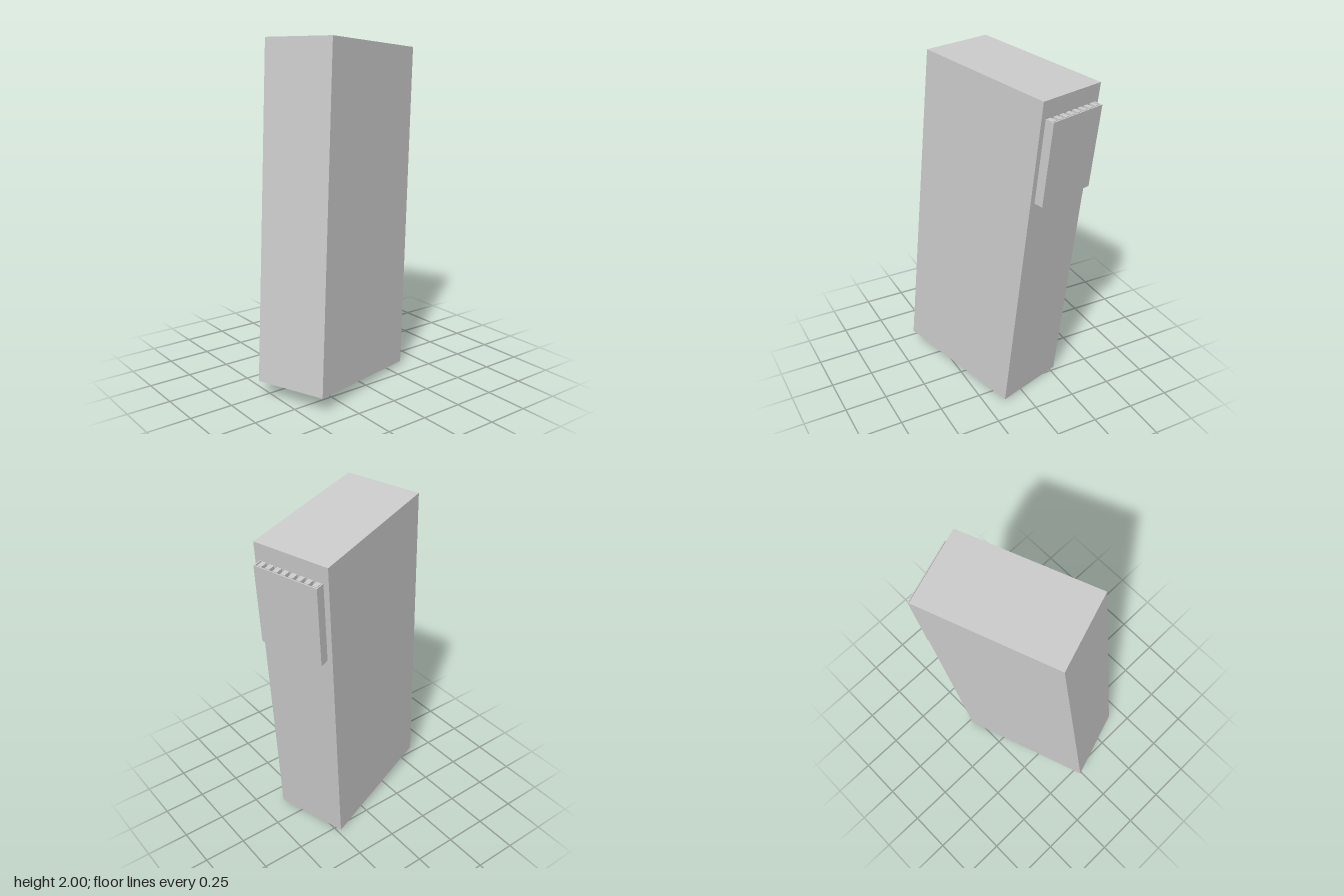
import * as THREE from 'three';

const W = 0.443, H = 1.912, D = 0.826;

export function createModel() {
  const model = new THREE.Group();
  const material = new THREE.MeshStandardMaterial({ color: 0xcccccc, flatShading: true });

  // Box spanning from..to in the cabinet's own axes
  const box = (name, from, to, parent) => {
    const a = new THREE.Vector3(...from), b = new THREE.Vector3(...to);
    const size = b.clone().sub(a);
    const mesh = new THREE.Mesh(new THREE.BoxGeometry(size.x, size.y, size.z), material);
    mesh.position.copy(a).add(b).multiplyScalar(0.5);
    mesh.name = name;
    parent.add(mesh);
    return mesh;
  };

  // Tilted cabinet frame: width, height and depth axes
  const cabinet = new THREE.Group();
  cabinet.name = 'cabinet';
  const up = new THREE.Vector3(-0.113, 1.902, -0.158).normalize();
  const right = new THREE.Vector3(0.42, 0.015, -0.14);
  right.addScaledVector(up, -right.dot(up)).normalize();
  const front = new THREE.Vector3().crossVectors(right, up);
  cabinet.quaternion.setFromRotationMatrix(new THREE.Matrix4().makeBasis(right, up, front));
  cabinet.position.set(-0.002, 1.002, 0.015);
  model.add(cabinet);

  box('body', [-W / 2, -H / 2, -D / 2], [W / 2, H / 2, D / 2], cabinet);

  // Vent hood on the back, open at the top
  const hood = new THREE.Group();
  hood.name = 'ventHood';
  cabinet.add(hood);
  const back = -D / 2, outer = back - 0.053, half = 0.19, top = 0.859, bottom = 0.386, t = 0.006;
  box('hoodPlate', [-half, bottom, outer], [half, top, outer + t], hood);
  box('hoodFloor', [-half, bottom, outer + t], [half, bottom + t, back], hood);
  for (const s of [-1, 1]) {
    const x = s * (half - t / 2);
    box(s > 0 ? 'hoodSideLeft' : 'hoodSideRight',
      [x - t / 2, bottom + t, outer + t], [x + t / 2, top, back], hood);
  }

  // Row of vertical fins inside the hood
  const count = 8, pitch = 0.047, finWidth = 0.027;
  for (let i = 0; i < count; i++) {
    const x = (i - (count - 1) / 2) * pitch;
    box('fin' + (i + 1), [x - finWidth / 2, bottom + t, outer + 0.014],
      [x + finWidth / 2, top - 0.003, back], hood);
  }

  return model;
}
